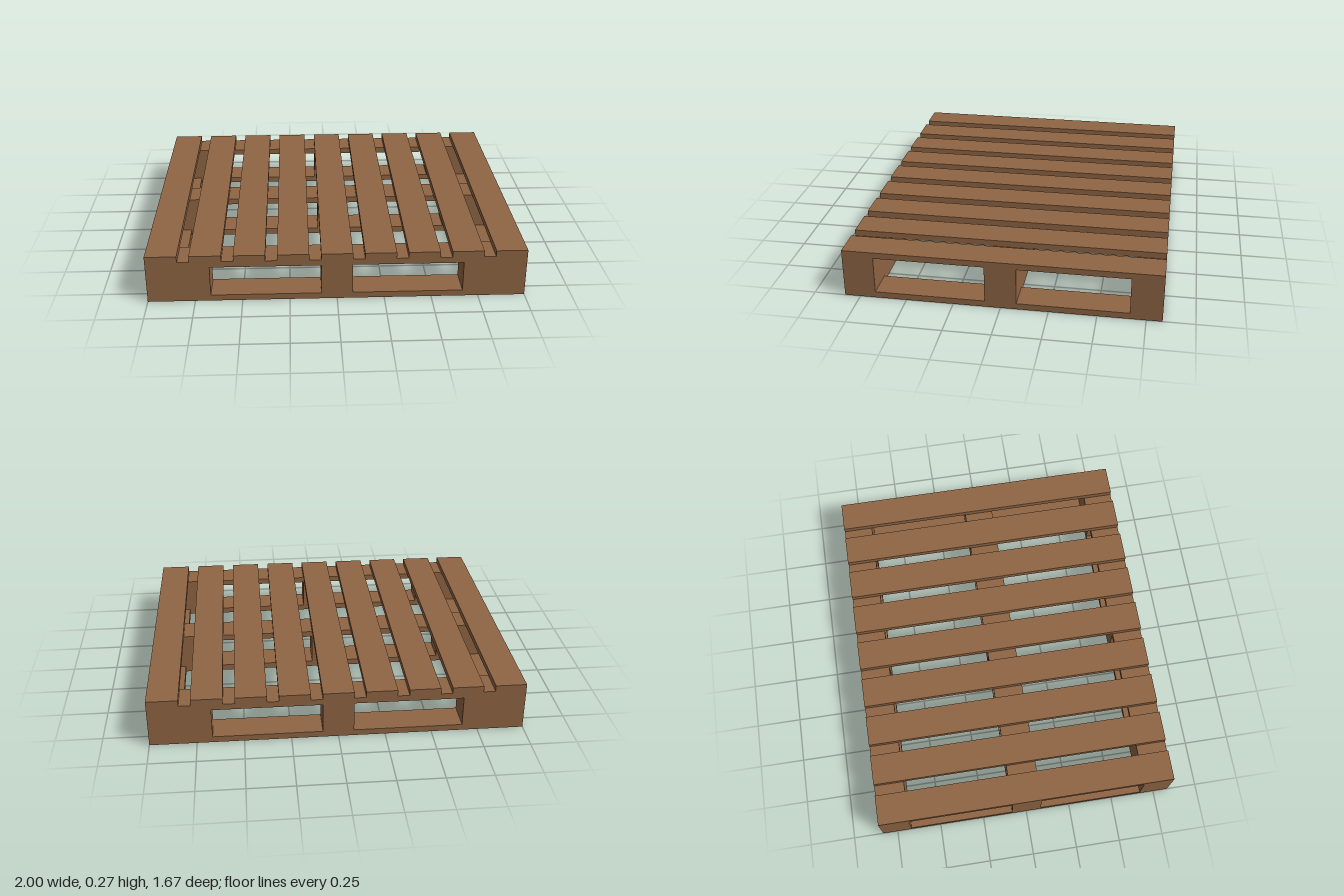
import * as THREE from 'three';

export function createModel() {
  const pallet = new THREE.Group();
  pallet.name = 'pallet';

  const wood = new THREE.MeshStandardMaterial({ color: 0x8f6544 });
  wood.name = 'brown wood';

  const T = 1 / 30;       // board thickness
  const W = 1 / 6;        // board width
  const LENGTH = 2;       // along x
  const DEPTH = 5 / 3;    // along z
  const BLOCK_H = 1 / 6;  // block height
  const rows = [-(DEPTH - W) / 2, 0, (DEPTH - W) / 2];

  // Adds a box resting on height y
  function board(name, w, h, d, x, y, z) {
    const mesh = new THREE.Mesh(new THREE.BoxGeometry(w, h, d), wood);
    mesh.name = name;
    mesh.position.set(x, y + h / 2, z);
    pallet.add(mesh);
  }

  for (const z of rows) {
    // Bottom runners: the middle one fits between the end boards
    const runner = z === 0 ? LENGTH - 2 * W : LENGTH;
    board('bottomRunner', runner, T, W, 0, 0, z);

    // Three blocks per row, the outer ones twice as long
    board('centreBlock', W, BLOCK_H, W, 0, T, z);
    for (const side of [-1, 1]) {
      board('endBlock', 2 * W, BLOCK_H, W, side * (LENGTH / 2 - W), T, z);
    }

    // Stringer under the deck
    board('stringer', LENGTH, T, W, 0, T + BLOCK_H, z);
  }

  // Bottom end boards close the base frame
  for (const side of [-1, 1]) {
    board('bottomEndBoard', W, T, DEPTH - 2 * W, side * (LENGTH - W) / 2, 0, 0);
  }

  // Nine evenly spaced deck boards
  const count = 9;
  for (let i = 0; i < count; i++) {
    const x = (LENGTH - W) * (i / (count - 1) - 0.5);
    board('deckBoard', W, T, DEPTH, x, 2 * T + BLOCK_H, 0);
  }

  return pallet;
}
